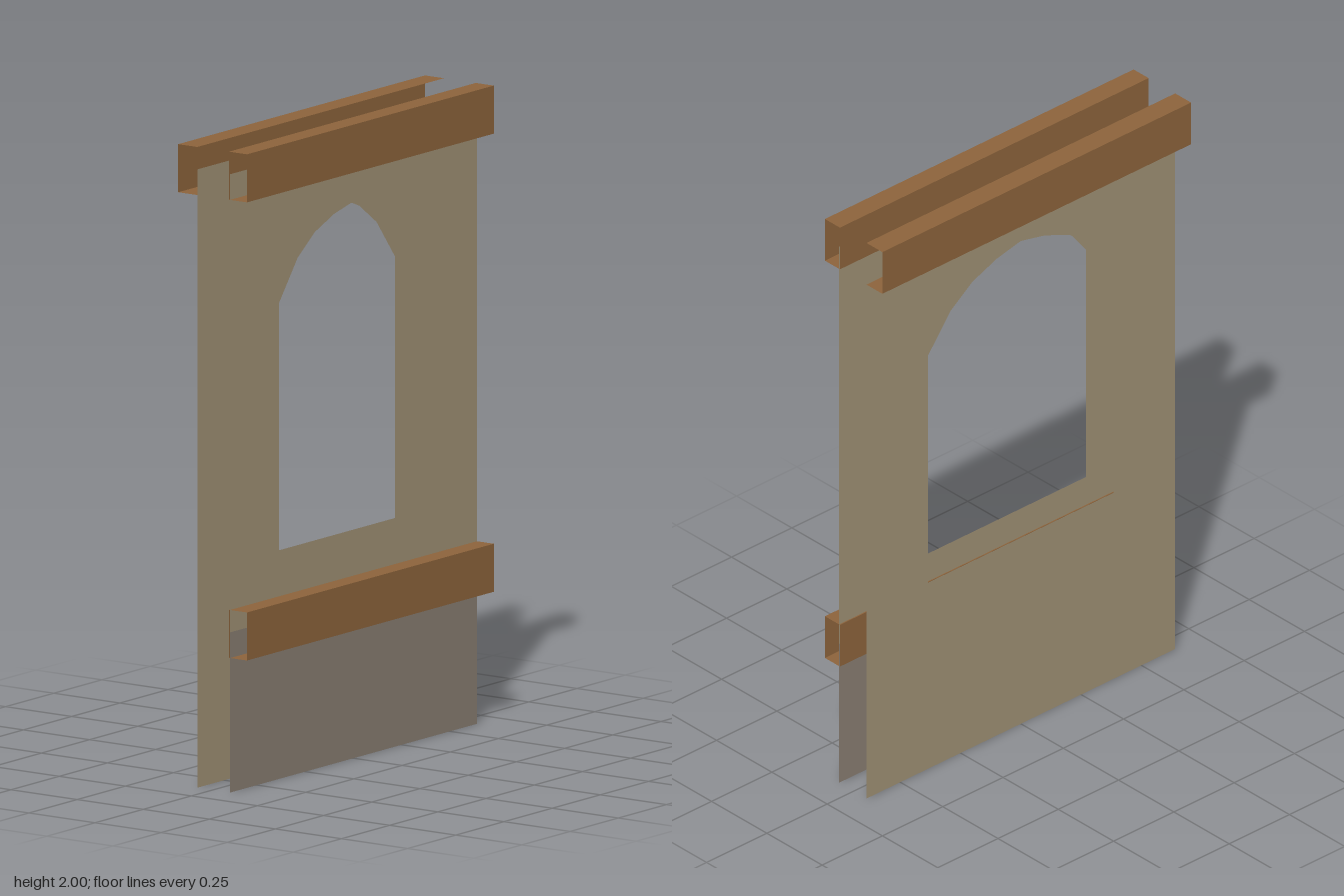
import * as THREE from 'three';

const W = 1.28; // panel width
const mat = (name, color) => {
  const m = new THREE.MeshStandardMaterial({ color, side: THREE.DoubleSide });
  m.name = name;
  return m;
};

export function createModel() {
  const plaster = mat('tan plaster', 0x9f9074);
  const wood = mat('brown wood', 0x8c633b);
  const stone = mat('grey stone', 0x887d71);
  const model = new THREE.Group();
  model.name = 'windowWall';

  const add = (parent, name, geometry, material, x, y, z) => {
    const mesh = new THREE.Mesh(geometry, material);
    mesh.name = name;
    mesh.position.set(x, y, z);
    parent.add(mesh);
    return mesh;
  };

  // Thin wall sheet with an arched window opening
  const archHalf = [[0.385, 0.67], [0.385, 1.487], [0.29, 1.61], [0.2, 1.676], [0.1, 1.716]];
  const wallSheet = (y0, y1) => {
    const shape = new THREE.Shape([
      [-W / 2, y0], [W / 2, y0], [W / 2, y1], [-W / 2, y1],
    ].map(([x, y]) => new THREE.Vector2(x, y)));
    const outline = [
      ...archHalf,
      [0, 1.738],
      ...archHalf.slice().reverse().map(([x, y]) => [-x, y]),
    ];
    shape.holes.push(new THREE.Path(outline.map(([x, y]) => new THREE.Vector2(x, y))));
    return new THREE.ShapeGeometry(shape);
  };

  // Front wall: plaster above a stone base
  add(model, 'frontWall', wallSheet(0.5, 1.93), plaster, 0, 0, 0.066);
  add(model, 'stoneBase', new THREE.PlaneGeometry(W, 0.5), stone, 0, 0.25, 0.066);

  // Back wall faces the other way
  add(model, 'backWall', wallSheet(0, 1.93), plaster, 0, 0, -0.058).rotation.y = Math.PI;

  // Hollow beam with open ends; inner is the face towards the middle of the wall
  const beam = (name, y0, y1, zIn, zOut, inner) => {
    const group = new THREE.Group();
    group.name = name;
    const h = y1 - y0, d = Math.abs(zOut - zIn), yc = (y0 + y1) / 2, zc = (zIn + zOut) / 2;
    const facing = zOut > zIn ? 0 : Math.PI;
    const face = new THREE.PlaneGeometry(W, h);
    const slab = new THREE.PlaneGeometry(W, d);
    add(group, 'outerFace', face, wood, 0, yc, zOut).rotation.y = facing;
    add(group, 'topFace', slab, wood, 0, y1, zc).rotation.x = -Math.PI / 2;
    add(group, 'bottomFace', slab, wood, 0, y0, zc).rotation.x = Math.PI / 2;
    if (inner) add(group, 'innerFace', face, wood, 0, yc, zIn).rotation.y = Math.PI - facing;
    model.add(group);
  };
  beam('frontTopBeam', 1.85, 2, 0.062, 0.13, true);
  beam('frontLowerBeam', 0.42, 0.57, 0.062, 0.13, true);
  beam('backTopBeam', 1.85, 2, -0.058, -0.13, false);

  return model;
}
